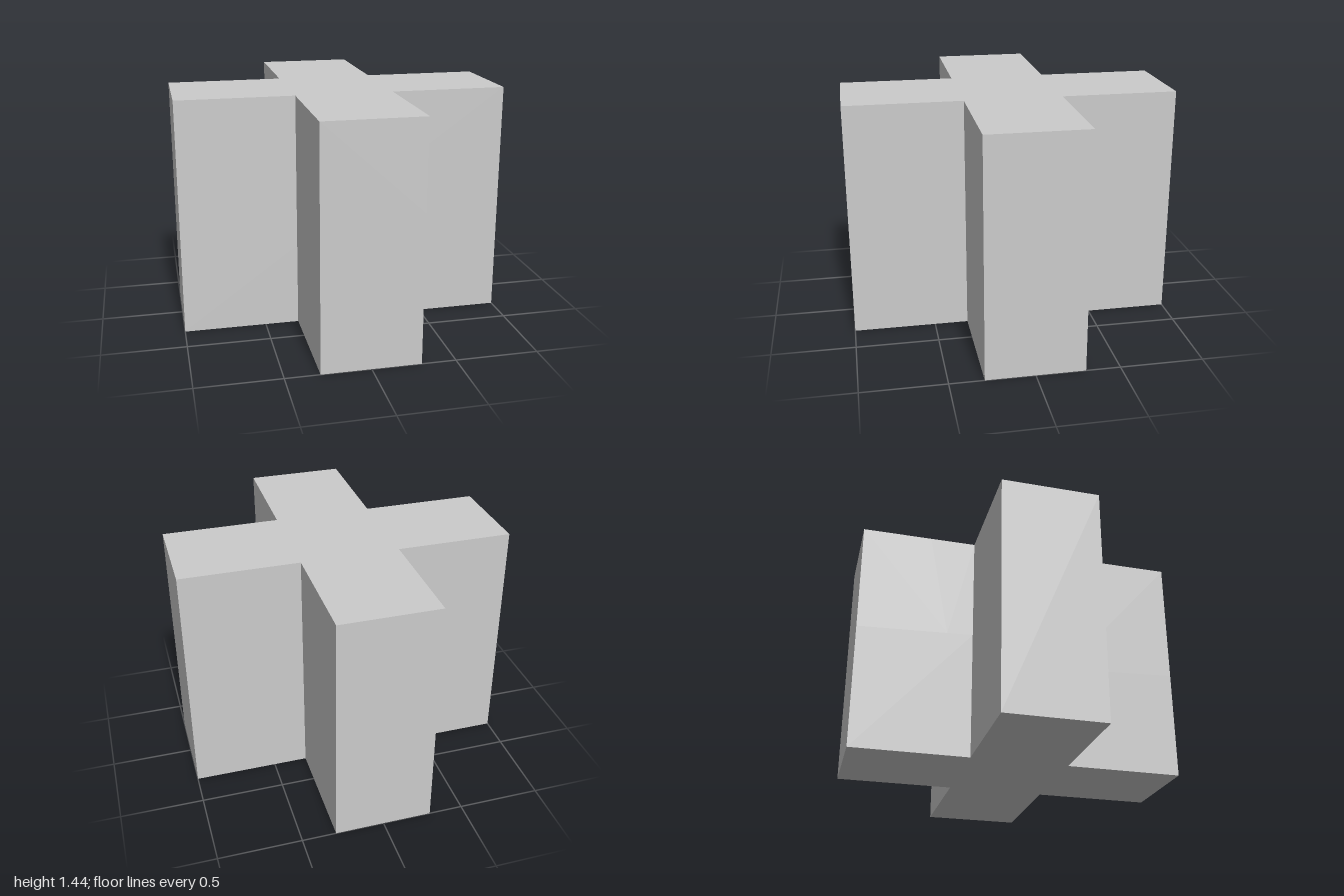
import * as THREE from 'three';
import { ConvexGeometry } from 'three/addons/geometries/ConvexGeometry.js';

const H = 1.44; // height
const W = 0.295; // half width of every arm
const material = new THREE.MeshStandardMaterial({ color: 0xcccccc });
const v = (x, y, z) => new THREE.Vector3(x, y, z);
const UP = v(0, 1, 0), RIGHT = v(1, 0, 0), BACK = v(0, 0, -1);

// Corners of the convex hull around some points, without repeats
function corners(points) {
  const pos = new ConvexGeometry(points).attributes.position;
  const unique = new Map();
  for (let i = 0; i < pos.count; i++) {
    const p = v(0, 0, 0).fromBufferAttribute(pos, i);
    unique.set(p.toArray().map(n => Math.round(n * 1e5)).join(), p);
  }
  return [...unique.values()];
}

// Cuts a convex chunk by the plane through a, b, c; the half towards dir comes first
function cut(chunk, dir, a, b, c) {
  const plane = new THREE.Plane().setFromCoplanarPoints(a, b, c);
  if (plane.normal.dot(dir) < 0) plane.negate();
  const near = [], far = [];
  for (const p of chunk) (plane.distanceToPoint(p) > 0 ? near : far).push(p);
  const seam = [];
  for (const p of near) for (const q of far) {
    const dp = plane.distanceToPoint(p), dq = plane.distanceToPoint(q);
    seam.push(p.clone().lerp(q, dp / (dp - dq)));
  }
  return [corners([...near, ...seam]), corners([...far, ...seam])];
}

function block(z0, z1) {
  const points = [];
  for (const x of [-W, W]) for (const y of [0, H]) for (const z of [z0, z1]) points.push(v(x, y, z));
  return points;
}

// Front arm: three chunks meet along the line from j to k
function frontChunks() {
  const j = v(0.04, 0.69, 1), k = v(W, 0.69, 0.6);
  const slope = [j, v(W, 0.9, 1), k];
  const floor = [j, v(-W, 0.665, 1), k];
  const side = [j, v(0.265, 0, 1), k];
  const arm = block(W, 1);
  const upper = cut(cut(arm, UP, ...slope)[0], UP, ...floor)[0];
  const lower = cut(cut(arm, UP, ...floor)[1], RIGHT, ...side)[1];
  const corner = cut(cut(arm, UP, ...slope)[1], RIGHT, ...side)[0];
  // Smaller shards of the broken corner
  const [outer, inner] = cut(corner, UP, v(0.15, 0.78, 1), v(W, 0.43, 1), v(W, 0.5, 0.87));
  return [
    ...cut(upper, RIGHT, v(-0.16, H, W), v(W, H, 1), v(W, 0.7, 0.6)),
    lower,
    outer,
    ...cut(inner, UP, v(0.15, 0.365, 1), v(W, 0.39, 1), v(W, 0.33, 0.75)),
  ];
}

// Back arm: broken mostly in its upper half
function backChunks() {
  const [upper, lower] = cut(block(-1, -W), UP, v(W, 0.78, -W), v(W, 0.75, -1), v(-W, 0.76, -1));
  const [right, left] = cut(upper, RIGHT, v(-0.04, H, -1), v(W, H, -0.3), v(-0.205, 0.755, -1));
  const [cap, rest] = cut(right, UP, v(W, 1.02, -0.4), v(W, 1.22, -1), v(0, 1.1, -1));
  return [
    ...cut(lower, RIGHT, v(0.087, 0.65, -1), v(0.137, 0.03, -1), v(0.29, 0, -0.32)),
    ...cut(left, BACK, v(-W, H, -0.575), v(0.17, H, -0.525), v(-W, 0.76, -0.45)),
    ...cut(cap, BACK, v(W, H, -0.77), v(W, 1.15, -0.78), v(0.06, H, -0.65)),
    rest,
  ];
}

export function createModel() {
  const model = new THREE.Group();
  model.name = 'crossBlock';

  // Whole crossbar running from side to side
  const bar = new THREE.Mesh(new THREE.BoxGeometry(2, H, 2 * W), material);
  bar.name = 'crossbar';
  bar.position.y = H / 2;
  model.add(bar);

  // Fractured arms, their chunks still fitted together
  for (const [name, chunks] of [['frontArm', frontChunks()], ['backArm', backChunks()]]) {
    const arm = new THREE.Group();
    arm.name = name;
    chunks.forEach((points, i) => {
      const mesh = new THREE.Mesh(new ConvexGeometry(points), material);
      mesh.name = `${name}Chunk${i + 1}`;
      arm.add(mesh);
    });
    model.add(arm);
  }
  return model;
}
